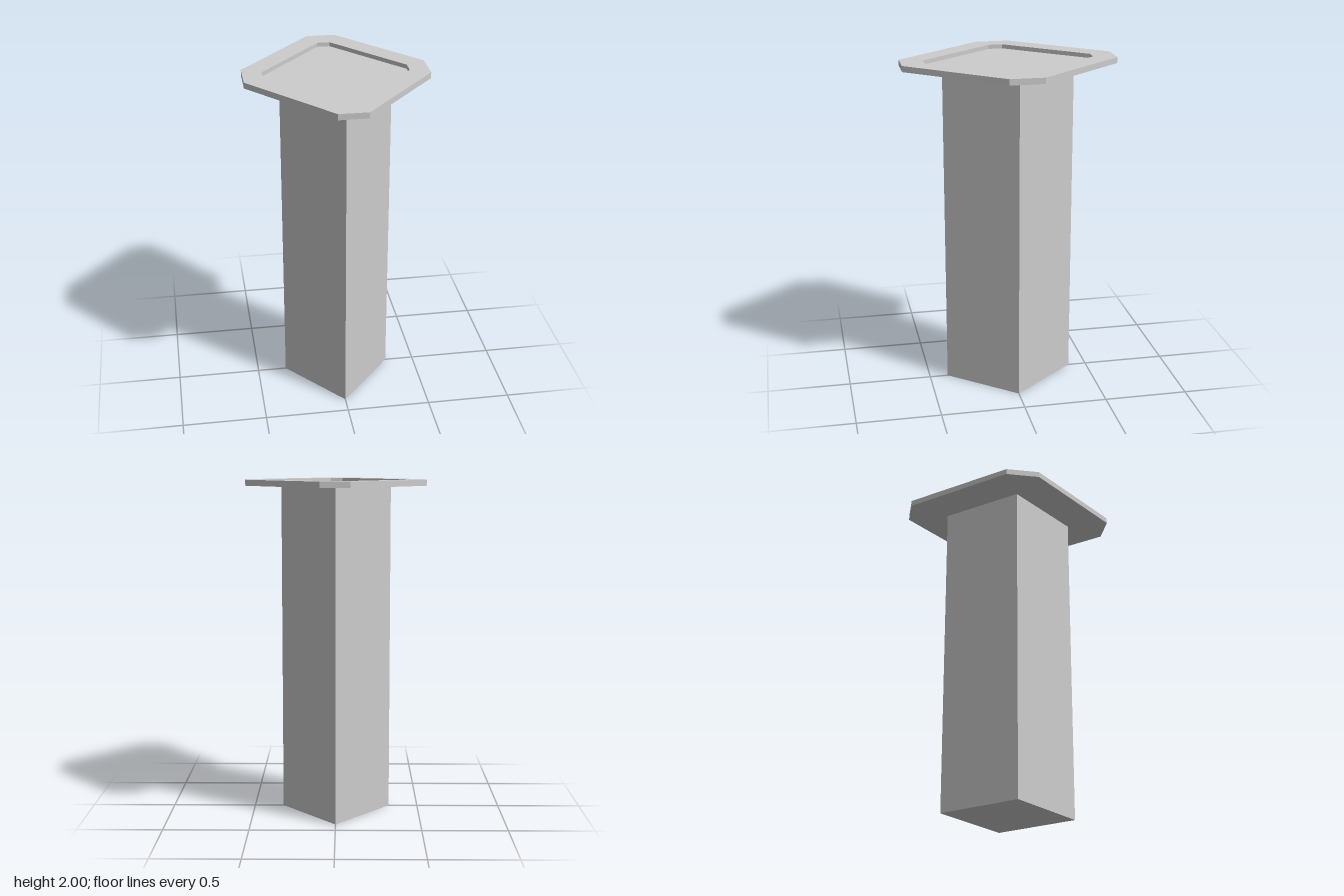
import * as THREE from 'three';

// Symmetric outline with bevelled corners, drawn in the ground plane
function bevelledDiamond(x, z, tipX, tipZ, PathType) {
  const p = new PathType();
  p.setFromPoints([
    [x, -tipZ], [x, tipZ], [tipX, z], [-tipX, z],
    [-x, tipZ], [-x, -tipZ], [-tipX, -z], [tipX, -z],
  ].map(([a, b]) => new THREE.Vector2(a, b)));
  p.closePath();
  return p;
}

// Upright slab from an outline
function slab(name, shape, bottom, height, material) {
  const geometry = new THREE.ExtrudeGeometry(shape, { depth: height, bevelEnabled: false });
  geometry.rotateX(-Math.PI / 2);
  geometry.translate(0, bottom, 0);
  const mesh = new THREE.Mesh(geometry, material);
  mesh.name = name;
  return mesh;
}

export function createModel() {
  const group = new THREE.Group();
  group.name = 'pedestal';
  const grey = new THREE.MeshStandardMaterial({ color: 0xcccccc });
  grey.name = 'light grey';

  const plateBottom = 1.965, trayFloor = 1.975, top = 2;

  // Four-sided column, corners pointing along the axes
  const column = new THREE.Shape([
    [0.325, 0], [0, 0.39], [-0.325, 0], [0, -0.39],
  ].map(([a, b]) => new THREE.Vector2(a, b)));
  group.add(slab('column', column, 0, plateBottom, grey));

  // Tray: raised rim around a shallow recess
  const plate = () => bevelledDiamond(0.531, 0.628, 0.085, 0.1, THREE.Shape);
  group.add(slab('trayBase', plate(), plateBottom, trayFloor - plateBottom, grey));
  const rim = plate();
  rim.holes.push(bevelledDiamond(0.419, 0.495, 0.037, 0.043, THREE.Path));
  group.add(slab('trayRim', rim, trayFloor, top - trayFloor, grey));

  return group;
}
